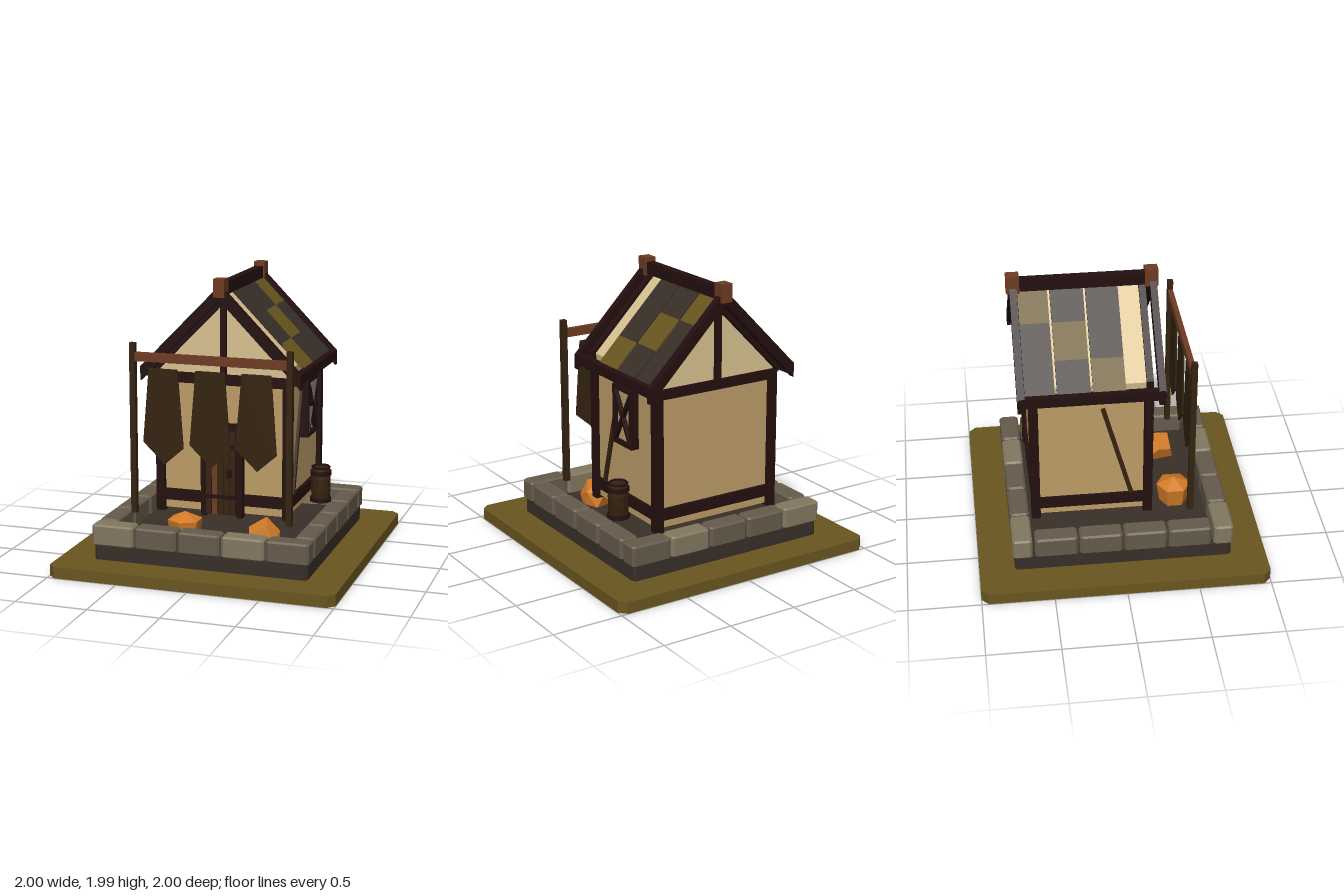
import * as THREE from 'three';

const mat = (name, color) => {
  const m = new THREE.MeshStandardMaterial({ color });
  m.name = name;
  return m;
};

export function createModel() {
  const root = new THREE.Group();
  const olive = mat('olive', 0x69561f), earth = mat('dark slate', 0x382f28);
  const stoneLight = mat('light stone', 0x827860), stoneDark = mat('dark stone', 0x665b4c);
  const plaster = mat('plaster', 0xbc9c67), cream = mat('cream plaster', 0xd8c290);
  const timber = mat('dark timber', 0x240f0f), brown = mat('dark brown wood', 0x35230f);
  const redWood = mat('red wood', 0x6e3b23), orange = mat('orange', 0xd27b27);

  const add = (name, geo, material, parent = root) => {
    const m = new THREE.Mesh(geo, material);
    m.name = name;
    parent.add(m);
    return m;
  };
  // box given by its limits on each axis
  const box = (name, material, x0, x1, y0, y1, z0, z1) => {
    const m = add(name, new THREE.BoxGeometry(x1 - x0, y1 - y0, z1 - z0), material);
    m.position.set((x0 + x1) / 2, (y0 + y1) / 2, (z0 + z1) / 2);
    return m;
  };
  const polygon = pts => new THREE.Shape(pts.map(p => new THREE.Vector2(...p)));
  // outline in x, y extruded from z0 to z1
  const slab = (name, material, pts, z0, z1) => {
    const geo = new THREE.ExtrudeGeometry(polygon(pts), { depth: z1 - z0, bevelEnabled: false });
    geo.translate(0, 0, z0);
    return add(name, geo, material);
  };
  // upright block with cut corners and an optional bevelled rim
  const block = (name, material, x0, x1, y0, y1, z0, z1, cut, bevel = 0) => {
    const w = (x1 - x0) / 2 - bevel, d = (z1 - z0) / 2 - bevel;
    const geo = new THREE.ExtrudeGeometry(polygon([
      [-w + cut, -d], [w - cut, -d], [w, -d + cut], [w, d - cut],
      [w - cut, d], [-w + cut, d], [-w, d - cut], [-w, -d + cut],
    ]), {
      depth: y1 - y0 - 2 * bevel, bevelEnabled: bevel > 0,
      bevelSize: bevel, bevelThickness: bevel, bevelSegments: 1,
    });
    geo.rotateX(-Math.PI / 2);
    geo.translate((x0 + x1) / 2, y0 + bevel, (z0 + z1) / 2);
    return add(name, geo, material);
  };
  // bar on a side wall between two (z, y) points
  const sideBar = (name, material, x0, x1, z0, y0, z1, y1, width) => {
    const m = add(name, new THREE.BoxGeometry(x1 - x0, Math.hypot(z1 - z0, y1 - y0), width), material);
    m.position.set((x0 + x1) / 2, (y0 + y1) / 2, (z0 + z1) / 2);
    m.rotation.x = Math.atan2(z1 - z0, y1 - y0);
  };

  // ground and floor
  block('ground', olive, -1, 1, 0, 0.08, -1, 1, 0.05);
  block('floor', earth, -0.755, 0.755, 0.08, 0.185, -0.755, 0.755, 0.02);

  // stone border
  for (let i = 0; i < 5; i++) {
    const x = -0.767 + i * 0.309;
    const m = i === 0 || i === 3 ? stoneLight : stoneDark;
    block('frontStone', m, x, x + 0.298, 0.18, 0.33, 0.63, 0.767, 0.01, 0.012);
    block('backStone', m, x, x + 0.298, 0.18, 0.33, -0.767, -0.63, 0.01, 0.012);
  }
  for (let i = 0; i < 4; i++) {
    const z = -0.612 + i * 0.309;
    block('leftStone', stoneDark, 0.63, 0.767, 0.18, 0.33, z, z + 0.298, 0.01, 0.012);
    block('rightStone', stoneDark, -0.767, -0.63, 0.18, 0.33, z, z + 0.298, 0.01, 0.012);
  }

  // house body, timber posts and rails
  box('walls', plaster, -0.46, 0.46, 0.33, 1.29, -0.58, 0.2);
  for (const s of [-1, 1]) {
    const side = (name, material, a, b, ...rest) =>
      box(name, material, Math.min(s * a, s * b), Math.max(s * a, s * b), ...rest);
    side('frontPost', timber, 0.43, 0.492, 0.31, 1.3, 0.17, 0.232);
    side('backPost', timber, 0.43, 0.492, 0.31, 1.3, -0.612, -0.55);
    side('lowerSideRail', timber, 0.44, 0.484, 0.39, 0.47, -0.56, 0.18);
    side('upperSideRail', timber, 0.44, 0.484, 1.24, 1.31, -0.56, 0.18);
    side('lowerFrontRail', timber, 0.14, 0.44, 0.39, 0.47, 0.18, 0.224);
    side('doorPost', timber, 0.11, 0.15, 0.31, 0.97, 0.19, 0.265);
    side('eaveBeam', timber, 0.52, 0.575, 1.29, 1.36, -0.68, 0.3);
    const xb = s > 0 ? [0.45, 0.48] : [-0.48, -0.45];
    sideBar('wallBrace', brown, ...xb, 0.085, 0.47, -0.11, 1.18, 0.03);
  }
  box('upperFrontRail', timber, -0.46, 0.46, 1.24, 1.31, 0.18, 0.226);
  box('upperBackRail', timber, -0.46, 0.46, 1.24, 1.31, -0.606, -0.56);
  box('lowerBackRail', timber, -0.46, 0.46, 0.39, 0.47, -0.606, -0.56);

  // door
  box('doorLintel', timber, -0.15, 0.15, 0.93, 0.97, 0.19, 0.265);
  for (let i = 0; i < 5; i++) {
    const x = -0.108 + i * 0.0435;
    box('doorPlank', i === 1 ? redWood : brown, x, x + 0.039, 0.33, 0.93, 0.2, 0.278);
  }
  box('doorBacking', timber, -0.11, 0.11, 0.33, 0.93, 0.2, 0.265);
  for (const y of [0.46, 0.82]) box('hingeStrap', timber, -0.11, 0.11, y - 0.013, y + 0.013, 0.27, 0.292);
  box('doorHandle', timber, 0.05, 0.08, 0.605, 0.66, 0.275, 0.312);

  // side window
  box('windowPane', plaster, 0.46, 0.495, 0.85, 1.22, -0.33, -0.13);
  for (const z of [-0.348, -0.138]) box('windowJamb', timber, 0.45, 0.52, 0.83, 1.245, z, z + 0.03);
  for (const y of [0.83, 1.215]) box('windowSill', timber, 0.45, 0.52, y, y + 0.03, -0.348, -0.108);
  sideBar('windowCross', timber, 0.49, 0.527, -0.33, 0.86, -0.13, 1.21, 0.022);
  sideBar('windowCross', timber, 0.49, 0.525, -0.13, 0.86, -0.33, 1.21, 0.022);

  // attic under the roof, with timbered gables
  const slope = 1.02;
  slab('attic', cream, [[-0.46, 1.28], [0.46, 1.28], [0.475, 1.375], [0, 1.86], [-0.475, 1.375]], -0.59, 0.19);
  box('frontGablePost', timber, -0.02, 0.02, 1.28, 1.85, 0.18, 0.225);
  box('backGablePost', timber, -0.02, 0.02, 1.28, 1.85, -0.625, -0.58);
  const rafters = (name, top, drop, reach, z0, z1) => slab(name, timber, [
    [0, top], [-reach, top - slope * reach], [-reach, top - slope * reach - drop], [0, top - drop],
    [reach, top - slope * reach - drop], [reach, top - slope * reach],
  ], z0, z1);
  rafters('frontBargeboard', 1.94, 0.1, 0.575, 0.257, 0.305);
  rafters('backBargeboard', 1.94, 0.1, 0.575, -0.688, -0.638);
  rafters('frontRafter', 1.89, 0.085, 0.49, 0.183, 0.23);
  rafters('backRafter', 1.88, 0.085, 0.49, -0.63, -0.585);

  // ridge
  box('ridgeBeam', timber, -0.03, 0.03, 1.87, 1.955, -0.68, 0.3);
  box('frontRidgeCap', redWood, -0.04, 0.04, 1.86, 1.985, 0.225, 0.315);
  box('backRidgeCap', redWood, -0.04, 0.04, 1.86, 1.985, -0.71, -0.62);

  // shingle strips, one olive shingle stepping down the slope in each
  const edges = [0.01, 0.187, 0.37, 0.535];
  const roofY = x => 1.9 - slope * x;
  [[-0.635, -0.435], [-0.42, -0.195], [-0.18, 0.04]].forEach(([z0, z1], row) => {
    for (const s of [-1, 1]) for (let i = 0; i < 3; i++) {
      const a = edges[i], b = edges[i + 1];
      slab('shingle', i === row ? olive : earth, [
        [s * a, roofY(a)], [s * b, roofY(b)], [s * b, roofY(b) - 0.03], [s * a, roofY(a) - 0.03],
      ], z0, z1);
    }
  });

  // hanging frame with three hides
  for (const x of [-0.555, 0.555]) box('framePole', brown, x - 0.02, x + 0.02, 0.36, 1.555, 0.47, 0.51);
  box('frameBar', redWood, -0.54, 0.54, 1.43, 1.49, 0.472, 0.508);
  for (const x of [-0.335, 0, 0.325]) {
    slab('hide', brown, [[-0.105, 1.385], [-0.15, 0.87], [0.005, 0.72], [0.14, 0.84], [0.1, 1.385]]
      .map(([px, py]) => [px + x, py]), 0.484, 0.496);
  }

  // barrel
  const barrel = new THREE.Group();
  barrel.name = 'barrel';
  barrel.position.set(0.575, 0.33, -0.265);
  root.add(barrel);
  const staves = [[0, 0], [0.062, 0], [0.072, 0.09], [0.072, 0.17], [0.062, 0.25], [0, 0.25]];
  const staveGeo = new THREE.LatheGeometry(staves.map(p => new THREE.Vector2(...p)), 12).toNonIndexed();
  staveGeo.computeVertexNormals();
  add('barrelStaves', staveGeo, brown, barrel);
  for (const y of [0.02, 0.215]) {
    add('barrelHoop', new THREE.CylinderGeometry(0.078, 0.078, 0.03, 12), timber, barrel).position.y = y;
  }
  add('barrelRim', new THREE.TorusGeometry(0.062, 0.009, 4, 12).rotateX(Math.PI / 2), timber, barrel).position.y = 0.255;

  // faceted orange heaps, one upright and one tipped over
  const heap = (name, x, y, z) => {
    const g = new THREE.Group();
    g.name = name;
    g.position.set(x, y, z);
    root.add(g);
    const geo = new THREE.LatheGeometry(
      [[0, -0.07], [0.1, -0.07], [0.123, 0.07], [0, 0.125]].map(p => new THREE.Vector2(...p)), 6).toNonIndexed();
    geo.computeVertexNormals();
    add('facetedHeap', geo, orange, g);
    return g;
  };
  heap('uprightHeap', -0.21, 0.255, 0.425);
  heap('tippedHeap', 0.345, 0.235, 0.39).rotation.set(0.25, 0.3, -1.25);

  return root;
}
